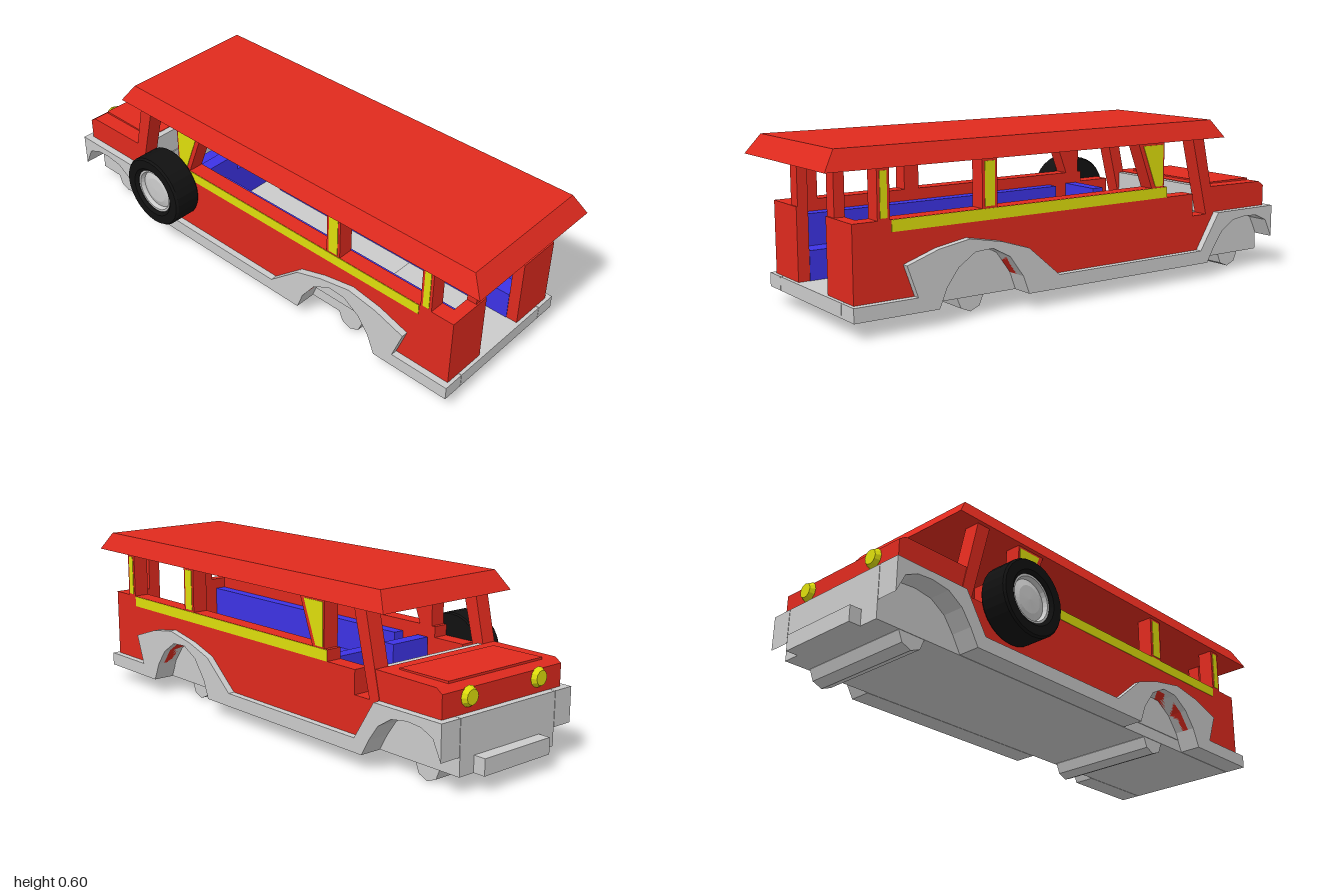
import * as THREE from 'three';

const paint = (color) => new THREE.MeshStandardMaterial({ color, flatShading: true });
const MID = -0.0425; // z of the vehicle's centre plane; its nose points to -x

export function createModel() {
  const group = new THREE.Group();
  const grey = paint(0xcccccc), red = paint(0xe02a1e), blue = paint(0x3d33e6);
  const yellow = paint(0xdede0c), black = paint(0x111111);

  const add = (name, geo, mat) => {
    const mesh = new THREE.Mesh(geo, mat);
    mesh.name = name;
    group.add(mesh);
    return mesh;
  };
  const box = (name, mat, x0, x1, y0, y1, z0, z1) =>
    add(name, new THREE.BoxGeometry(x1 - x0, y1 - y0, z1 - z0), mat)
      .position.set((x0 + x1) / 2, (y0 + y1) / 2, (z0 + z1) / 2);
  // side profile extruded across z
  const prism = (name, mat, pts, z0, z1) => {
    const shape = new THREE.Shape(pts.map(([x, y]) => new THREE.Vector2(x, y)));
    const geo = new THREE.ExtrudeGeometry(shape, { depth: z1 - z0, bevelEnabled: false });
    add(name, geo.translate(0, 0, z0), mat);
  };
  // maps a z range of the +z side to either side
  const range = (s, a, b) => (s > 0 ? [a, b] : [2 * MID - b, 2 * MID - a]);

  const frontArch = [[-0.955, 0.12], [-0.92, 0.19], [-0.87, 0.213], [-0.81, 0.218], [-0.74, 0.208],
    [-0.68, 0.17], [-0.64, 0.115], [-0.605, 0.055]];
  const rearArch = [[0.24, 0.055], [0.265, 0.12], [0.32, 0.195], [0.39, 0.232], [0.46, 0.228],
    [0.525, 0.185], [0.57, 0.125], [0.6, 0.055]];
  const fender = [...frontArch, ...rearArch, [0.913, 0.055], [0.913, 0.105], [0.68, 0.105], [0.72, 0.215],
    [0.6, 0.255], [0.48, 0.275], [0.35, 0.25], [0.24, 0.215], [0.11, 0.105], [-0.57, 0.105],
    [-0.66, 0.245], [-0.955, 0.245]];
  const wall = [[-0.57, 0.105], [0.258, 0.105], ...rearArch.slice(1, -1), [0.58, 0.105], [0.9, 0.105],
    [0.9, 0.365], [-0.41, 0.365], [-0.41, 0.325], [-0.545, 0.325], [-0.545, 0.24], [-0.615, 0.24],
    [-0.54, 0.533], [-0.595, 0.533], [-0.66, 0.25]];

  // chassis
  box('chassisFloor', grey, -0.955, 0.913, 0.055, 0.105, -0.27, 0.185);
  box('engineBay', grey, -0.955, -0.61, 0.1, 0.245, -0.27, 0.185);
  box('dashboard', grey, -0.645, -0.615, 0.24, 0.343, -0.27, 0.185);
  box('frontBumper', grey, -1, -0.955, 0.055, 0.113, -0.205, 0.11);
  for (const x of [-0.81, 0.42]) {
    add('axle', new THREE.CylinderGeometry(0.053, 0.053, 0.442, 8).rotateX(Math.PI / 2), grey)
      .position.set(x, 0.053, -0.038);
  }

  // hood
  prism('hood', red, [[-0.93, 0.245], [-0.64, 0.245], [-0.64, 0.345], [-0.905, 0.342], [-0.93, 0.325]], -0.328, 0.242);
  box('hoodPanel', red, -0.9, -0.69, 0.335, 0.35, -0.27, 0.18);

  // both sides, mirrored about the centre plane
  for (const s of [1, -1]) {
    prism('fender', grey, fender, ...range(s, 0.187, 0.27));
    box('wheelWell', grey, 0.235, 0.605, 0.1, 0.245, ...range(s, 0.176, 0.188));
    prism('sideWall', red, wall, ...range(s, 0.185, 0.245));
    box('sideStripe', yellow, -0.41, 0.76, 0.325, 0.364, ...range(s, 0.22, 0.247));

    // window posts with yellow insets
    prism('frontPost', red, [[-0.395, 0.365], [-0.335, 0.365], [-0.27, 0.533], [-0.395, 0.533]], ...range(s, 0.185, 0.245));
    prism('frontPostInset', yellow, [[-0.388, 0.37], [-0.352, 0.37], [-0.292, 0.524], [-0.388, 0.524]], ...range(s, 0.23, 0.247));
    for (const [x0, x1] of [[0.355, 0.415], [0.765, 0.81]]) {
      box('sidePost', red, x0, x1, 0.36, 0.533, ...range(s, 0.185, 0.245));
      box('sidePostInset', yellow, x0 + 0.01, x1 - 0.01, 0.372, 0.524, ...range(s, 0.23, 0.247));
    }
    box('rearPanel', red, 0.857, 0.9, 0.105, 0.365, ...range(s, 0.067, 0.19));
    box('rearPost', red, 0.857, 0.895, 0.36, 0.533, ...range(s, 0.067, 0.117));

    // seating
    box('benchSeat', blue, -0.25, 0.857, 0.105, 0.21, ...range(s, 0.065, 0.176));
    box('benchBack', blue, -0.25, 0.857, 0.2, 0.323, ...range(s, 0.14, 0.184));
    box('frontSeatBack', blue, -0.38, -0.33, 0.24, 0.323, ...range(s, 0.0065, 0.18));

    const lamp = new THREE.CylinderGeometry(0.026, 0.036, 0.018, 12).rotateZ(Math.PI / 2);
    add('headlight', lamp, yellow).position.set(-0.938, 0.298, MID + s * 0.166);
  }
  box('frontSeatBase', blue, -0.5, -0.33, 0.105, 0.25, -0.265, 0.18);

  // roof: a block whose upper face is drawn in
  const roof = new THREE.BoxGeometry(1.685, 0.068, 0.606);
  const p = roof.attributes.position;
  for (let i = 0; i < p.count; i++) {
    if (p.getY(i) > 0) {
      p.setX(i, p.getX(i) - Math.sign(p.getX(i)) * 0.047);
      p.setZ(i, p.getZ(i) - Math.sign(p.getZ(i)) * 0.032);
    }
  }
  roof.computeVertexNormals();
  add('roof', roof, red).position.set(0.1525, 0.567, MID);

  // spare wheel on the +z side
  const lathe = (name, pts, mat) => {
    const geo = new THREE.LatheGeometry(pts.map(([r, h]) => new THREE.Vector2(r, h)), 28);
    add(name, geo.rotateX(Math.PI / 2), mat).position.set(-0.435, 0.272, 0.245);
  };
  lathe('spareTyre', [[0, 0], [0.136, 0], [0.141, 0.006], [0.141, 0.102], [0.135, 0.11], [0.1, 0.11], [0.088, 0.1], [0.088, 0.05]], black);
  lathe('spareRim', [[0.09, 0.05], [0.089, 0.098], [0.08, 0.098], [0.074, 0.082], [0.05, 0.09], [0, 0.092]], grey);

  return group;
}
